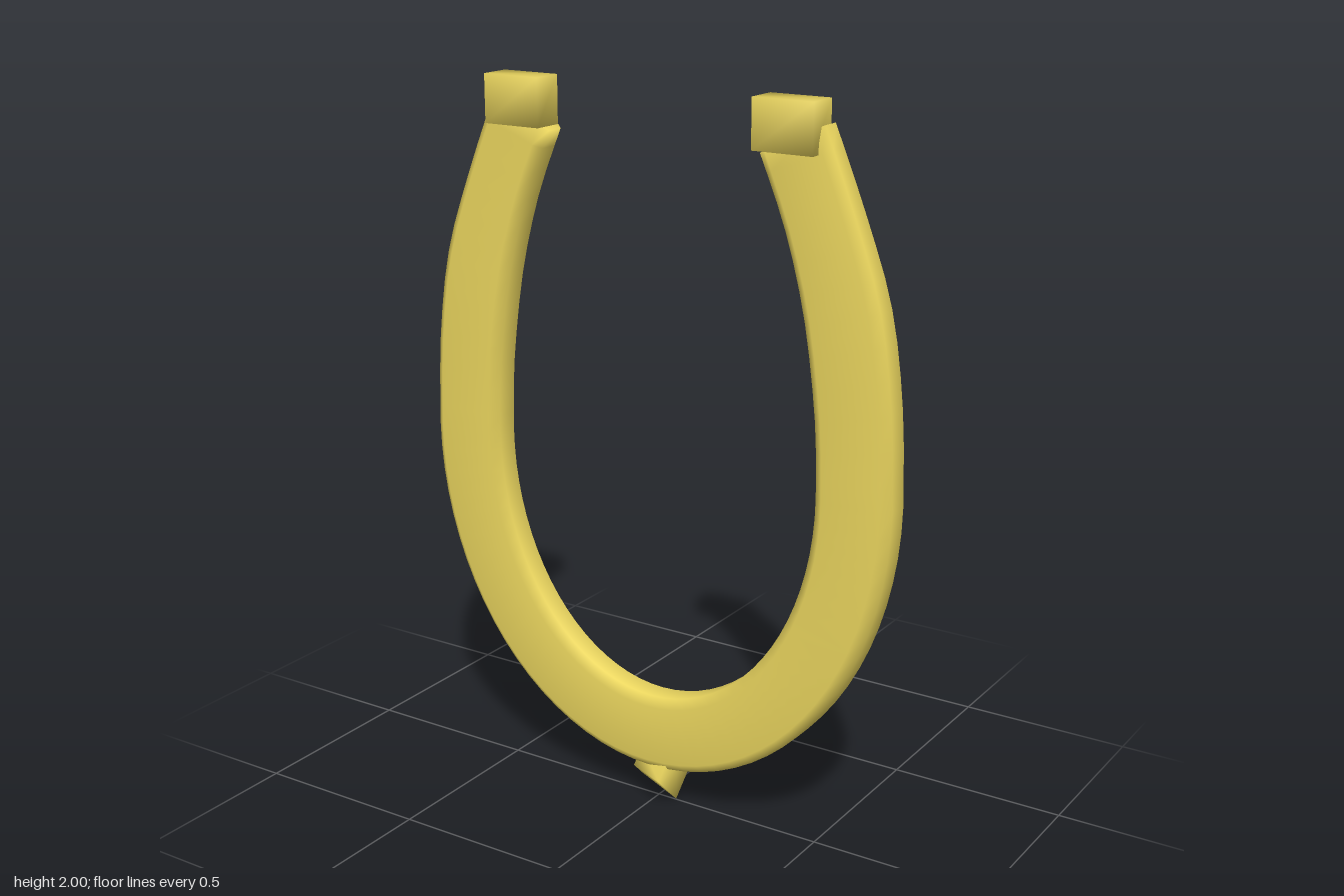
import * as THREE from 'three';
import { mergeVertices } from 'three/addons/utils/BufferGeometryUtils.js';

const gold = new THREE.MeshStandardMaterial({ color: 0xecd75f });

// Share corners between faces so the shading runs smoothly around them
function soften(geometry) {
  geometry.deleteAttribute('uv');
  geometry.deleteAttribute('normal');
  const merged = mergeVertices(geometry, 1e-4);
  merged.computeVertexNormals();
  return merged;
}

function addMesh(group, name, geometry, x = 0, y = 0, z = 0) {
  const mesh = new THREE.Mesh(geometry, gold);
  mesh.name = name;
  mesh.position.set(x, y, z);
  group.add(mesh);
  return mesh;
}

// Half of one rim: a quarter ellipse from the toe to the widest point, then the arm
function halfRim(rx, ry, arm) {
  const points = [];
  const steps = 20;
  for (let i = 0; i < steps; i++) {
    const a = (i / steps) * Math.PI / 2;
    points.push(new THREE.Vector2(rx * Math.sin(a), 1 - ry * Math.cos(a)));
  }
  const curve = new THREE.SplineCurve([[rx, 1], ...arm].map(p => new THREE.Vector2(...p)));
  return points.concat(curve.getPoints(12));
}

// Mirror a half rim into a full one, running from the right heel to the left heel
function fullRim(half) {
  const mirrored = half.slice(1).reverse().map(p => new THREE.Vector2(-p.x, p.y));
  return mirrored.concat(half);
}

// Bevelled cross-section swept between the outer and inner rims
function shoeGeometry() {
  const outer = fullRim(halfRim(0.715, 0.89, [[0.703, 1.25], [0.664, 1.5], [0.588, 1.72], [0.497, 1.94]]));
  const inner = fullRim(halfRim(0.5, 0.675, [[0.492, 1.2], [0.456, 1.45], [0.396, 1.67], [0.318, 1.858]]));
  // [0 inner .. 1 outer, -1 back .. 1 front]
  const section = [[1, 0.6], [1, -0.6], [0.88, -1], [0.12, -1], [0, -0.6], [0, 0.6], [0.12, 1], [0.88, 1]];
  const n = section.length;
  const positions = [], index = [];
  outer.forEach((o, i) => {
    const q = inner[i];
    const depth = 0.0515 - 0.008 * Math.max(0, (o.y - 1.4) / 0.54);
    for (const [u, w] of section) {
      positions.push(q.x + (o.x - q.x) * u, q.y + (o.y - q.y) * u, 0.012 + w * depth);
    }
  });
  const last = (outer.length - 1) * n;
  for (let a = 0; a < last; a += n) {
    for (let j = 0; j < n; j++) {
      const k = (j + 1) % n;
      index.push(a + j, a + k, a + n + k, a + j, a + n + k, a + n + j);
    }
  }
  // Flat heel ends
  for (let j = 1; j < n - 1; j++) {
    index.push(0, j + 1, j, last, last + j, last + j + 1);
  }
  const geometry = new THREE.BufferGeometry();
  geometry.setAttribute('position', new THREE.Float32BufferAttribute(positions, 3));
  geometry.setIndex(index);
  geometry.computeVertexNormals();
  return geometry;
}

export function createModel() {
  const group = new THREE.Group();
  group.name = 'horseshoe';

  addMesh(group, 'shoe', shoeGeometry());

  // Heel blocks and nail heads, mirrored left and right
  const blockGeometry = soften(new THREE.BoxGeometry(0.17, 0.13, 0.09));
  const nailGeometry = soften(new THREE.BoxGeometry(0.04, 0.04, 0.04));
  const nails = [[0.352, 0.325], [0.58, 0.66], [0.614, 1.25]];
  for (const [side, s] of [['left', 1], ['right', -1]]) {
    addMesh(group, side + 'HeelBlock', blockGeometry, s * 0.405, 1.935, 0.04);
    nails.forEach(([x, y], i) => addMesh(group, side + 'Nail' + (i + 1), nailGeometry, s * x, y, -0.038));
  }

  // Tapered four-sided toe stud, lying along x
  const stud = soften(new THREE.CylinderGeometry(0.092, 0.042, 0.115, 4));
  stud.rotateZ(-Math.PI / 2);
  addMesh(group, 'toeStud', stud, -0.002, 0.092, -0.003);

  return group;
}
